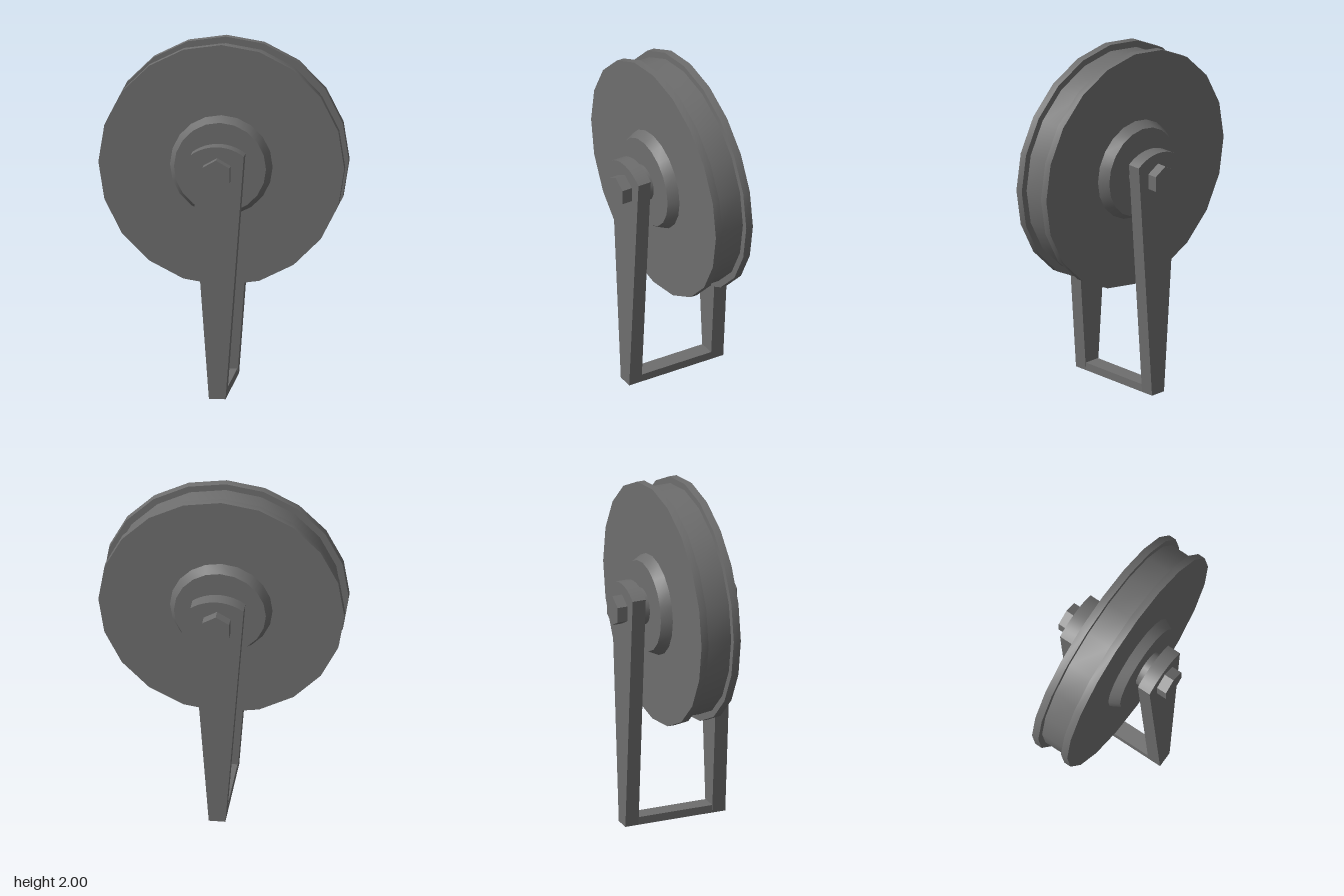
import * as THREE from 'three';
import { toCreasedNormals } from 'three/addons/utils/BufferGeometryUtils.js';

const AXLE_Y = 1.305;

export function createModel() {
  const group = new THREE.Group();
  const material = new THREE.MeshStandardMaterial({ color: 0x6e6e6e });

  function add(name, geometry, x, y, z) {
    const mesh = new THREE.Mesh(geometry, material);
    mesh.name = name;
    mesh.position.set(x, y, z);
    group.add(mesh);
  }

  // Turned part around the z axis; profile is [radius, z] with z rising
  function turned(profile, sides) {
    const points = profile.map(([r, z]) => new THREE.Vector2(r, z));
    const geometry = new THREE.LatheGeometry(points, sides).rotateX(Math.PI / 2);
    return toCreasedNormals(geometry, 0.45);
  }

  // Grooved wheel with raised conical hubs
  add('wheel', turned([
    [0, -0.18], [0.26, -0.18], [0.29, -0.12], [0.695, -0.12], [0.695, -0.077],
    [0.657, -0.077], [0.657, 0.077], [0.695, 0.077], [0.695, 0.12],
    [0.29, 0.12], [0.26, 0.18], [0, 0.18],
  ], 20), 0, AXLE_Y, 0);

  // Axle between the fork arms
  add('axle', turned([[0, -0.24], [0.105, -0.24], [0.105, 0.24], [0, 0.24]], 20), 0, AXLE_Y, 0);

  // Tapered fork arm with a shallow arched top
  const arm = new THREE.Shape();
  arm.moveTo(-0.047, 0);
  arm.lineTo(0.047, 0);
  arm.lineTo(0.15, 1.405);
  arm.absarc(0, 1.205, 0.25, Math.atan2(0.2, 0.15), Math.atan2(0.2, -0.15), false);
  arm.closePath();
  const armGeometry = toCreasedNormals(
    new THREE.ExtrudeGeometry(arm, { depth: 0.08, bevelEnabled: false, curveSegments: 6 }), 0.45);
  armGeometry.translate(0, 0, -0.04);

  // Hexagonal bolt head, a corner pointing up
  const boltGeometry = toCreasedNormals(new THREE.CylinderGeometry(0.088, 0.088, 0.06, 6), 0.45);
  boltGeometry.rotateX(Math.PI / 2);

  for (const [side, s] of [['front', 1], ['back', -1]]) {
    add(side + 'Arm', armGeometry, 0, 0, s * 0.265);
    add(side + 'Bolt', boltGeometry, 0, AXLE_Y, s * 0.335);
  }

  // Bar joining the arms at the bottom
  add('baseBar', new THREE.BoxGeometry(0.094, 0.046, 0.45), 0, 0.023, 0);

  return group;
}
